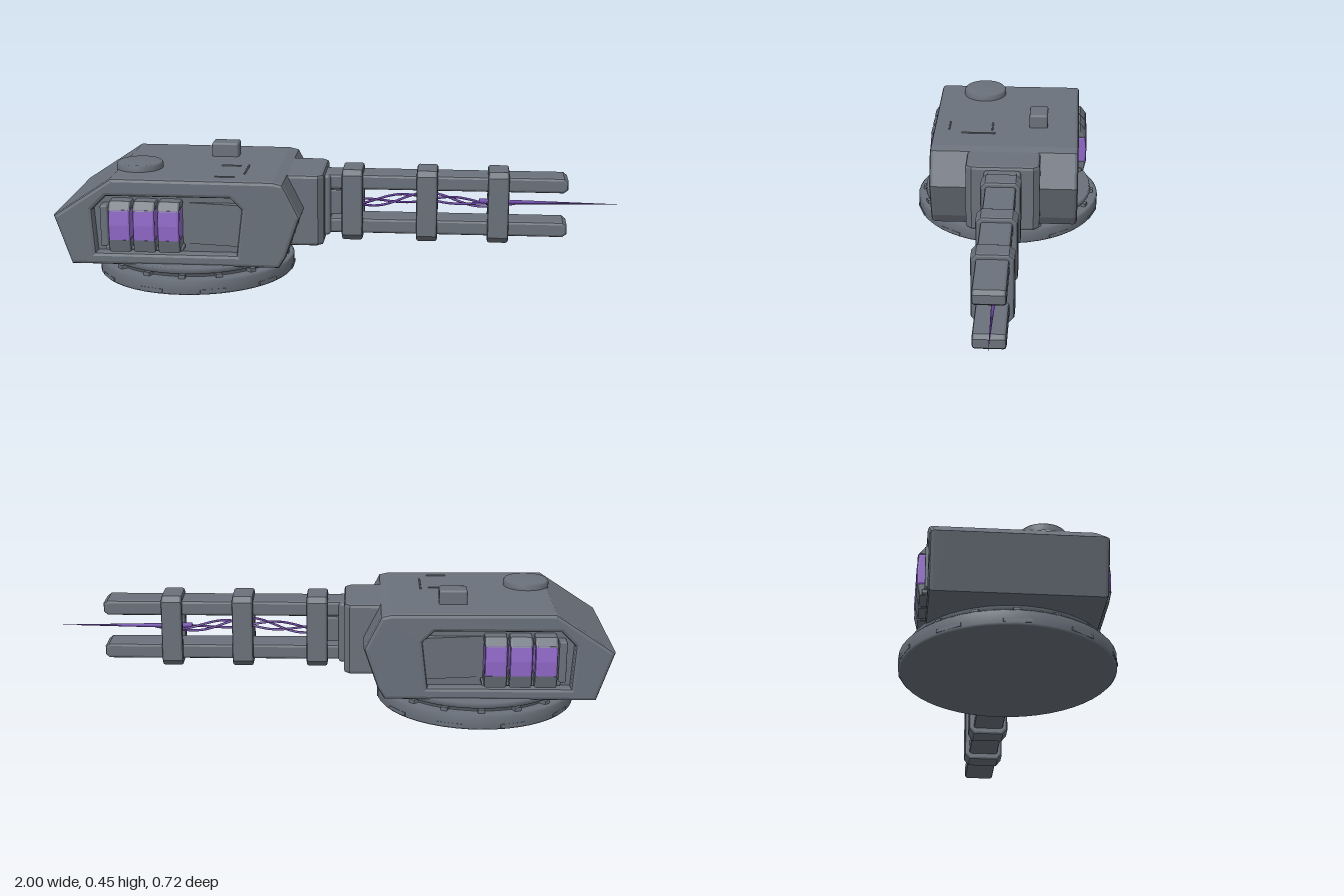
import * as THREE from 'three';
import { RoundedBoxGeometry } from 'three/addons/geometries/RoundedBoxGeometry.js';

const material = (name, color) => {
  const m = new THREE.MeshStandardMaterial({ color });
  m.name = name;
  return m;
};

export function createModel() {
  const model = new THREE.Group();
  model.name = 'turret';
  const steel = material('steel grey', 0x6a717b);
  const violet = material('energy violet', 0x9068c8);
  const darkViolet = material('deep violet', 0x6b45a6);

  const add = (name, geometry, mat = steel, x = 0, y = 0, z = 0) => {
    const mesh = new THREE.Mesh(geometry, mat);
    mesh.name = name;
    mesh.position.set(x, y, z);
    model.add(mesh);
    return mesh;
  };
  const polygon = (points) => new THREE.Shape(points.map(([x, y]) => new THREE.Vector2(x, y)));
  // Extrusion centred on its depth axis, keeping the outline size when bevelled
  const slab = (shape, depth, bevel = 0) => {
    const g = new THREE.ExtrudeGeometry(shape, {
      depth: depth - 2 * bevel, bevelEnabled: bevel > 0, bevelThickness: bevel,
      bevelSize: bevel, bevelOffset: -bevel, bevelSegments: 2, curveSegments: 12,
    });
    return g.translate(0, 0, -depth / 2 + bevel);
  };
  const box = (name, x0, x1, y0, y1, z0, z1, radius = 0.01, mat = steel) => add(name,
    new RoundedBoxGeometry(x1 - x0, y1 - y0, z1 - z0, 2, radius), mat,
    (x0 + x1) / 2, (y0 + y1) / 2, (z0 + z1) / 2);

  // Turntable: wide disc, narrower collar and bolts
  const cx = -0.535;
  const discProfile = [[0, 0], [0.352, 0], [0.358, 0.006], [0.358, 0.047], [0.35, 0.055], [0, 0.055]];
  const lathe = (pts) => new THREE.LatheGeometry(pts.map(([x, y]) => new THREE.Vector2(x, y)), 48);
  add('turntable', lathe(discProfile), steel, cx);
  add('turntableCollar', lathe([[0.315, 0.05], [0.315, 0.065], [0.33, 0.07], [0.326, 0.088], [0, 0.088]]), steel, cx);
  for (let i = 0; i < 16; i++) {
    const a = (i / 16) * Math.PI * 2;
    const bolt = add('collarBolt', new THREE.BoxGeometry(0.025, 0.014, 0.024), steel,
      cx + Math.cos(a) * 0.327, 0.061, Math.sin(a) * 0.327);
    bolt.rotation.y = -a;
  }
  for (let i = 0; i < 10; i++) {
    const a = (i / 10) * Math.PI * 2;
    const pad = add('rimPad', new THREE.BoxGeometry(0.006, 0.012, 0.09), steel,
      cx + Math.cos(a) * 0.355, 0.014, Math.sin(a) * 0.355);
    pad.rotation.y = -a;
  }

  // Armoured hull: solid core with a windowed armour plate on each side
  const outline = [[-0.94, 0.08], [-0.2, 0.08], [-0.175, 0.12], [-0.125, 0.265],
    [-0.185, 0.385], [-0.22, 0.393], [-0.79, 0.396], [-1, 0.257]];
  add('hullCore', slab(polygon(outline), 0.476));
  const plateShape = polygon(outline);
  plateShape.holes.push(polygon([[-0.85, 0.125], [-0.86, 0.28], [-0.81, 0.33],
    [-0.37, 0.33], [-0.33, 0.29], [-0.35, 0.125]]));
  for (const s of [-1, 1]) add('sideArmour', slab(plateShape, 0.08, 0.013), steel, 0, 0, s * 0.238);

  // Sloped filler at the front end of both side recesses
  const ramp = slab(polygon([[-0.54, -0.24], [-0.34, -0.268], [-0.3, -0.268],
    [-0.3, 0.268], [-0.34, 0.268], [-0.54, 0.24]]), 0.15).rotateX(Math.PI / 2);
  add('recessRamp', ramp, steel, 0, 0.23, 0);

  // Three power cells, each passing through the hull and showing on both sides
  const cellParts = [
    ['cellFoot', steel, [[-0.3, 0.137], [0.3, 0.137], [0.31, 0.182], [-0.31, 0.182]], 0.08],
    ['cellGlow', violet, [[-0.309, 0.178], [0.309, 0.178], [0.311, 0.235], [0.306, 0.29], [-0.306, 0.29], [-0.311, 0.235]], 0.078],
    ['cellCap', steel, [[-0.308, 0.286], [0.308, 0.286], [0.285, 0.317], [-0.285, 0.317]], 0.08],
  ];
  for (const x of [-0.757, -0.67, -0.583]) {
    for (const [name, mat, pts, width] of cellParts) {
      add(name, slab(polygon(pts), width, 0.008).rotateY(Math.PI / 2), mat, x);
    }
  }
  for (const s of [-1, 1]) {
    box('cellRail', -0.81, -0.535, 0.14, 0.155, s * 0.268 - 0.025, s * 0.268 + 0.025, 0.004);
    box('cellBracket', -0.83, -0.803, 0.15, 0.3, s * 0.26 - 0.025, s * 0.26 + 0.025, 0.006);
  }

  // Roof fittings
  add('hatch', lathe([[0.083, 0.39], [0.083, 0.412], [0.077, 0.419], [0, 0.419]]), steel, -0.72, 0, 0.1);
  box('periscope', -0.49, -0.39, 0.38, 0.446, -0.158, -0.088, 0.009);
  box('roofSeam', -0.43, -0.36, 0.39, 0.398, 0.05, 0.056, 0.002);
  box('roofSeam', -0.335, -0.329, 0.388, 0.398, 0.04, 0.17, 0.002);
  box('roofSeam', -0.43, -0.36, 0.39, 0.398, 0.215, 0.221, 0.002);

  // Gun mantlet, chamfered toward the front
  const mantlet = polygon([[-0.2, -0.137], [-0.075, -0.137], [-0.055, -0.115],
    [-0.055, 0.115], [-0.075, 0.137], [-0.2, 0.137]]);
  add('mantlet', slab(mantlet, 0.262, 0.012).rotateX(Math.PI / 2), steel, 0, 0.254, 0);
  box('breech', -0.08, -0.035, 0.145, 0.37, -0.068, 0.068, 0.012);
  for (const s of [-1, 1]) {
    box('breechStrut', -0.05, 0.01, 0.22, 0.31, s * 0.043 - 0.008, s * 0.043 + 0.008, 0.004);
  }

  // Twin rails with chamfered muzzles
  for (const [y0, y1] of [[0.152, 0.208], [0.315, 0.371]]) {
    const rail = polygon([[-0.06, y0], [0.8, y0], [0.815, y0 + 0.012],
      [0.815, y1 - 0.012], [0.8, y1], [-0.06, y1]]);
    add('rail', slab(rail, 0.112, 0.01));
  }

  // Hollow clamps around both rails
  const ring = polygon([[-0.055, 0.128], [0.055, 0.128], [0.073, 0.15], [0.073, 0.37],
    [0.055, 0.389], [-0.055, 0.389], [-0.073, 0.37], [-0.073, 0.15]]);
  ring.holes.push(polygon([[-0.042, 0.2], [-0.042, 0.32], [0.042, 0.32], [0.042, 0.2]]));
  for (const x of [0.043, 0.312, 0.568]) {
    add('railClamp', slab(ring, 0.076, 0.009).rotateY(Math.PI / 2), steel, x);
  }

  // Energy discharge: twisting strands that gather into a spike
  for (let k = 0; k < 3; k++) {
    const points = [];
    for (let i = 0; i <= 16; i++) {
      const t = i / 16;
      const a = t * 11 + (k * Math.PI * 2) / 3;
      const r = 0.017 * Math.sin(Math.PI * Math.min(1, t * 0.85 + 0.12));
      points.push(new THREE.Vector3(-0.05 + t * 0.68,
        0.265 + Math.sin(a) * r - 0.012 * Math.sin(t * 9), Math.cos(a) * r - 0.008));
    }
    add('energyStrand', new THREE.TubeGeometry(new THREE.CatmullRomCurve3(points), 64, 0.0045, 5), darkViolet);
  }
  const spike = new THREE.ConeGeometry(0.011, 0.5, 8).rotateZ(-Math.PI / 2);
  add('energySpike', spike, darkViolet, 0.75, 0.264, -0.008);

  return model;
}
